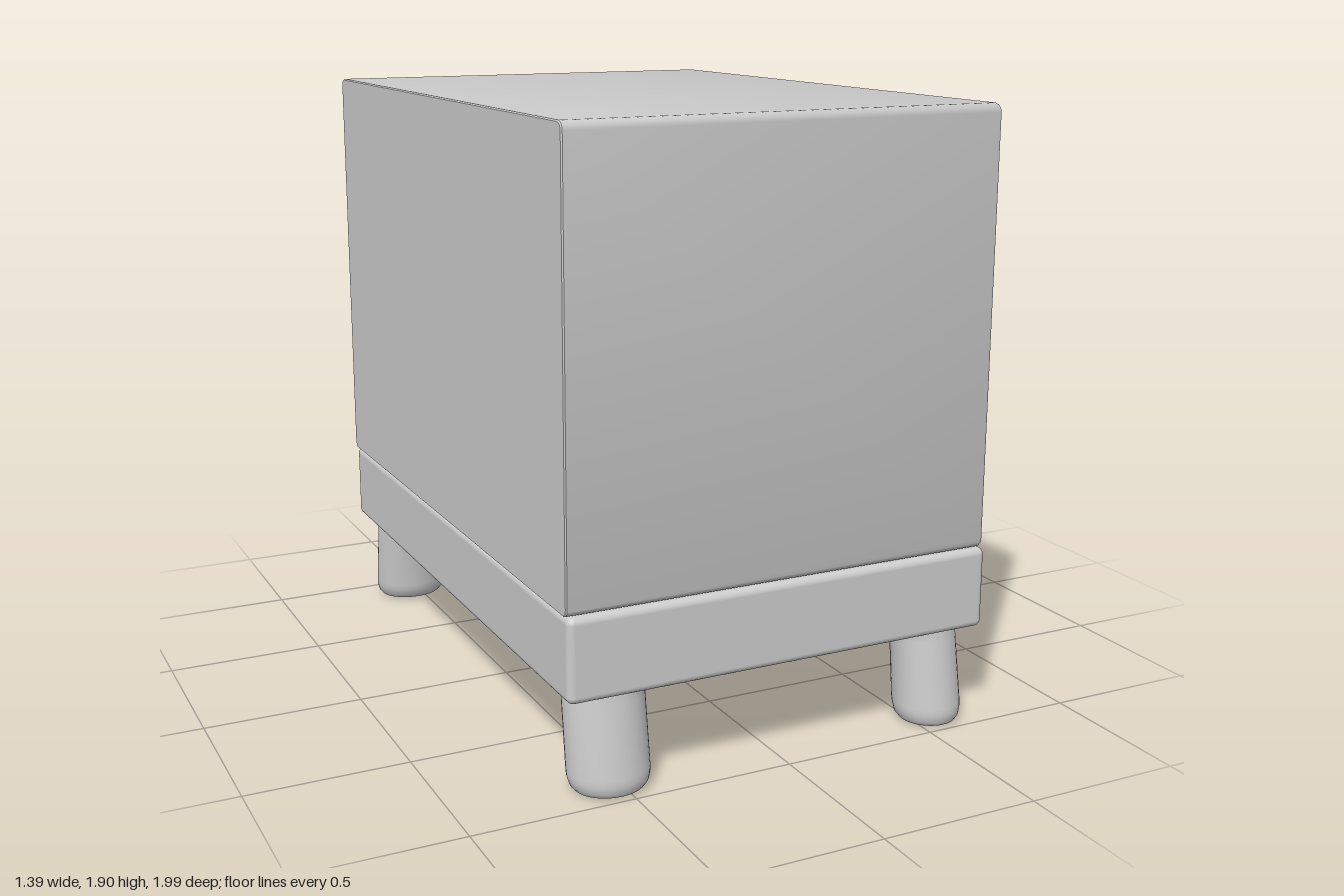
import * as THREE from 'three';
import { toCreasedNormals } from 'three/addons/utils/BufferGeometryUtils.js';
import { RoundedBoxGeometry } from 'three/addons/geometries/RoundedBoxGeometry.js';

const grey = new THREE.MeshStandardMaterial({ color: 0xcccccc });

function part(name, geometry) {
  const mesh = new THREE.Mesh(geometry, grey);
  mesh.name = name;
  return mesh;
}

// Skins rounded rectangles [x, half width in z, half height in y, corner radius]
function loftAlongX(sections, centreY) {
  const perCorner = 6, ring = 4 * (perCorner + 1);
  const positions = [], index = [];
  for (const [x, hz, hy, r] of sections) {
    for (let c = 0; c < 4; c++) {
      const sz = c === 0 || c === 3 ? 1 : -1, sy = c < 2 ? 1 : -1;
      for (let i = 0; i <= perCorner; i++) {
        const a = (c + i / perCorner) * Math.PI / 2;
        positions.push(x, centreY + sy * (hy - r) + r * Math.sin(a), sz * (hz - r) + r * Math.cos(a));
      }
    }
  }
  for (let s = 0; s < sections.length - 1; s++) {
    for (let i = 0; i < ring; i++) {
      const a = s * ring + i, b = s * ring + (i + 1) % ring;
      index.push(a, a + ring, b, b, a + ring, b + ring);
    }
  }
  const g = new THREE.BufferGeometry();
  g.setAttribute('position', new THREE.Float32BufferAttribute(positions, 3));
  g.setIndex(index);
  return toCreasedNormals(g, 0.6);
}

// Drawer front with a trapezoid finger notch in its top edge
function drawerFront(y0, y1) {
  const w = 0.886, bevel = 0.004;
  const shape = new THREE.Shape();
  [[-w, y0], [w, y0], [w, y1], [0.163, y1], [0.143, y1 - 0.067],
    [-0.143, y1 - 0.067], [-0.163, y1], [-w, y1]].forEach(([u, v], i) =>
    i ? shape.lineTo(u, v) : shape.moveTo(u, v));
  shape.closePath();
  const g = new THREE.ExtrudeGeometry(shape, {
    depth: 0.07, bevelEnabled: true, bevelSize: bevel, bevelOffset: -bevel,
    bevelThickness: bevel, bevelSegments: 2
  });
  g.rotateY(Math.PI / 2);
  g.translate(0.566, 0, 0);
  return g;
}

// Round leg, splayed along z, with a small fillet on its inner sides under the base
function leg(x, radiusX, sideZ) {
  const top = 0.31;
  const profile = [[0, 0], [0.7, 0], [0.84, 0.006], [0.94, 0.02], [0.99, 0.042], [1, 0.06],
    [0.9, 0.27], [0.94, 0.29], [1.02, 0.301], [1.16, top]].map(p => new THREE.Vector2(...p));
  const g = new THREE.LatheGeometry(profile, 40);
  const p = g.attributes.position;
  const sideX = Math.sign(x);
  for (let i = 0; i < p.count; i++) {
    const y = p.getY(i), t = y / top;
    let dx = p.getX(i), dz = p.getZ(i);
    if (dx * sideX > 0 && y > 0.28) dx *= 0.9 / Math.max(0.9, Math.hypot(dx, dz));
    if (dz * sideZ > 0 && y > 0.28) dz *= 0.9 / Math.max(0.9, Math.hypot(p.getX(i), dz));
    // straight in x, tapered in z
    const straight = y > 0.06 ? 1 + 0.11 * Math.min(1, (y - 0.06) / 0.21) : 1;
    p.setX(i, x + dx * radiusX * straight);
    p.setZ(i, sideZ * (0.893 - 0.045 * t) + dz * 0.107);
  }
  return toCreasedNormals(g, 0.7);
}

export function createModel() {
  const group = new THREE.Group();
  group.name = 'nightstand';

  // Cabinet shell: closed back, rounded long edges, chamfered frame, shallow recess
  const cabinet = loftAlongX([
    [-0.70, 0, 0, 0],
    [-0.70, 0.971, 0.668, 0.022],
    [-0.696, 0.975, 0.672, 0.026],
    [0.673, 0.975, 0.672, 0.026],
    [0.681, 0.971, 0.668, 0.024],
    [0.685, 0.963, 0.660, 0.022],
    [0.685, 0.938, 0.636, 0.022],
    [0.681, 0.932, 0.630, 0.022],
    [0.64, 0.893, 0.592, 0.016],
    [0.56, 0.893, 0.592, 0.016],
    [0.56, 0, 0, 0]
  ], 1.233);
  group.add(part('cabinet', cabinet));

  // Two drawers facing +x
  group.add(part('lowerDrawer', drawerFront(0.647, 1.204)));
  group.add(part('upperDrawer', drawerFront(1.211, 1.821)));

  // Plinth
  const base = new RoundedBoxGeometry(1.39, 0.255, 1.956, 4, 0.022);
  base.translate(0, 0.4325, 0);
  group.add(part('base', base));

  // Legs: the rear pair is wider
  for (const side of [1, -1]) {
    const name = side > 0 ? 'left' : 'right';
    group.add(part(name + 'DrawerSideLeg', leg(0.56, 0.105, side)));
    group.add(part(name + 'RearLeg', leg(-0.535, 0.125, side)));
  }
  return group;
}
